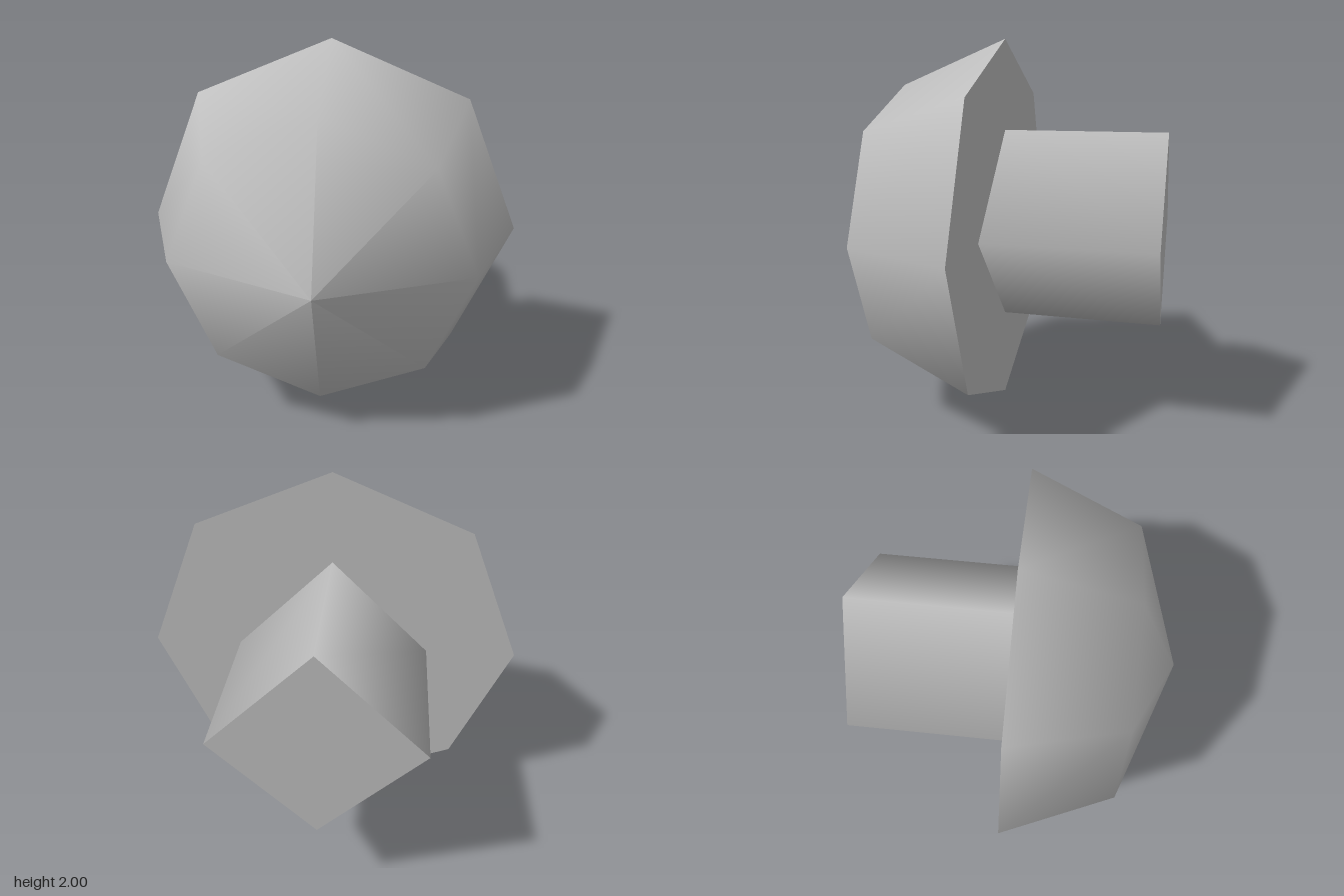
import * as THREE from 'three';

export function createModel() {
  const model = new THREE.Group();
  const grey = new THREE.MeshStandardMaterial({ color: 0xc0c0c0 });
  grey.name = 'plain grey';

  const add = (name, geometry, z) => {
    const mesh = new THREE.Mesh(geometry, grey);
    mesh.name = name;
    mesh.position.set(0, 1, z);
    model.add(mesh);
  };

  // Eight-sided domed head, smooth shaded, pointing to the front
  const profile = [[1, 0], [0.76, 0.58], [0, 0.87]].map(([r, h]) => new THREE.Vector2(r, h));
  add('headDome', new THREE.LatheGeometry(profile, 8).rotateX(Math.PI / 2), 0);

  // Flat back of the head
  add('headBack', new THREE.CircleGeometry(1, 8).rotateY(Math.PI), 0);

  // Four-sided shank standing on its corner, smooth shaded with flat ends
  add('shank', new THREE.CylinderGeometry(0.52, 0.52, 0.87, 4).rotateX(Math.PI / 2), -0.435);

  return model;
}
